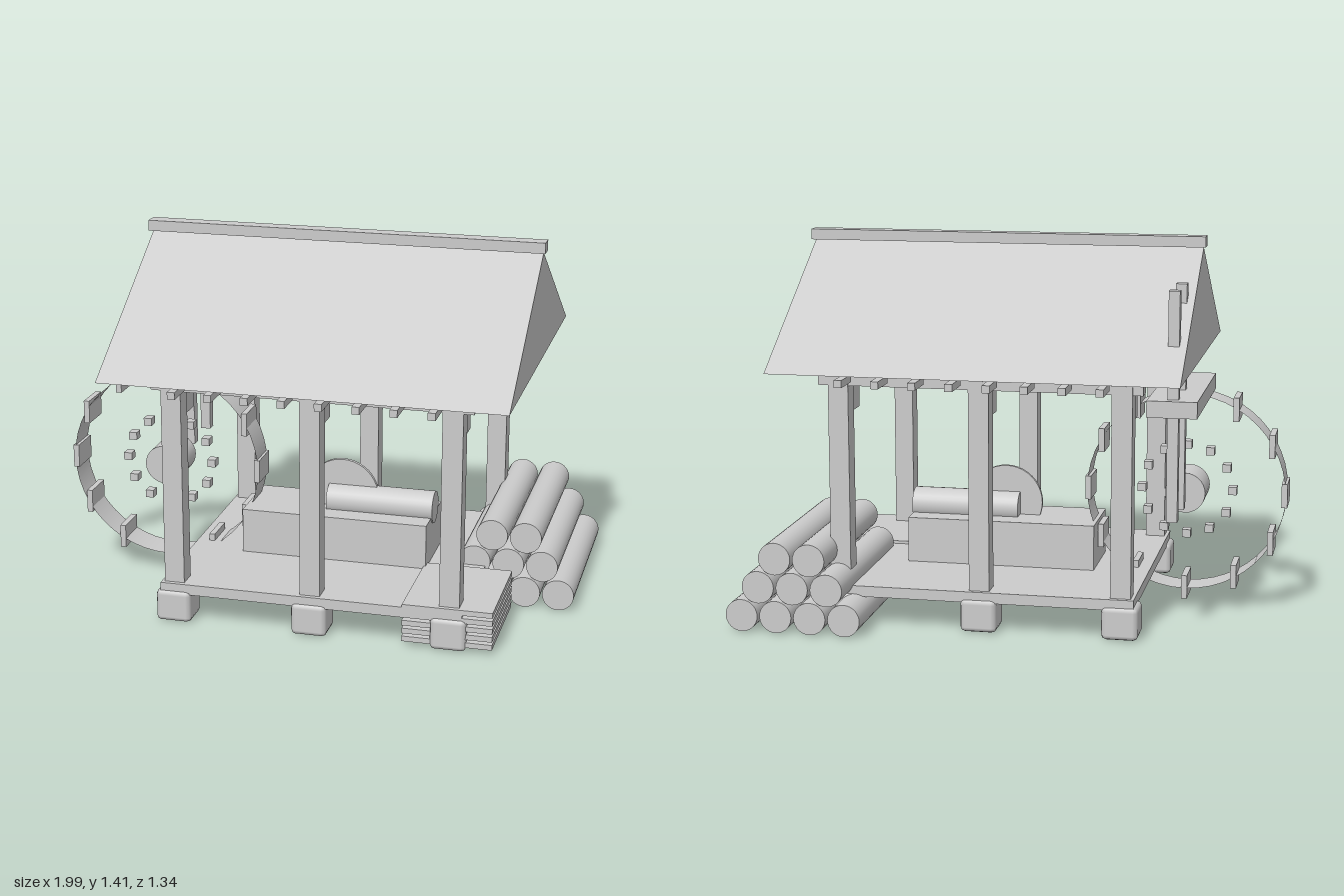
import * as THREE from 'three';
import { RoundedBoxGeometry } from 'three/addons/geometries/RoundedBoxGeometry.js';

export function createModel() {
  const model = new THREE.Group();
  model.name = 'waterSawmill';
  const grey = new THREE.MeshStandardMaterial({ color: 0xcccccc, side: THREE.DoubleSide });
  grey.name = 'plain grey';

  const add = (name, geometry, x = 0, y = 0, z = 0, parent = model) => {
    const mesh = new THREE.Mesh(geometry, grey);
    mesh.name = name;
    mesh.position.set(x, y, z);
    parent.add(mesh);
    return mesh;
  };
  // Box given by its lower and upper limits on each axis
  const box = (name, x0, x1, y0, y1, z0, z1, parent) =>
    add(name, new THREE.BoxGeometry(x1 - x0, y1 - y0, z1 - z0),
      (x0 + x1) / 2, (y0 + y1) / 2, (z0 + z1) / 2, parent);

  // Floor, feet, posts and braces
  box('floor', -0.487, 0.653, 0.115, 0.155, -0.52, 0.52);
  for (const x of [-0.437, 0.083, 0.603]) {
    for (const s of [-1, 1]) {
      add('footStone', new RoundedBoxGeometry(0.134, 0.122, 0.134, 1, 0.018), x, 0.066, s * 0.465);
      add('post', new THREE.BoxGeometry(0.075, 0.78, 0.075), x, 0.54, s * 0.465);
      add('brace', new THREE.BoxGeometry(0.06, 0.105, 0.1), x, 0.843, s * 0.375);
    }
    box('crossBeam', x - 0.035, x + 0.035, 0.897, 0.96, -0.5, 0.5);
  }

  // Long beams and rafter ends under the eaves
  for (const s of [-1, 1]) {
    add('longBeam', new THREE.BoxGeometry(1.19, 0.063, 0.07), 0.083, 0.929, s * 0.465);
    for (let i = 0; i < 8; i++) {
      add('rafterEnd', new THREE.BoxGeometry(0.028, 0.027, 0.128), -0.382 + i * 0.1343, 0.931, s * 0.594);
    }
  }

  // Roof shell, open underneath
  const x0 = -0.662, x1 = 0.828, e = 0.667, low = 0.96, top = 1.372;
  const A = [x0, low, e], B = [x1, low, e], C = [x0, low, -e], D = [x1, low, -e];
  const L = [x0, top, 0], R = [x1, top, 0];
  const roof = new THREE.BufferGeometry();
  const corners = [A, B, R, A, R, L, D, C, L, D, L, R, B, D, R, C, A, L].flat();
  roof.setAttribute('position', new THREE.Float32BufferAttribute(corners, 3));
  roof.computeVertexNormals();
  add('roof', roof);
  box('ridgeCap', -0.672, 0.838, 1.374, 1.414, -0.03, 0.03);

  // Saw bench with blade and log
  box('sawBench', -0.28, 0.44, 0.15, 0.327, -0.142, 0.142);
  add('sawBlade', new THREE.CylinderGeometry(0.14, 0.14, 0.015, 40).rotateX(Math.PI / 2), 0.083, 0.377, 0);
  add('benchLog', new THREE.CylinderGeometry(0.062, 0.062, 0.415, 28).rotateZ(Math.PI / 2), 0.237, 0.354, 0);

  // Log pile: rows of four, three and two
  const logGeometry = new THREE.CylinderGeometry(0.06, 0.06, 0.728, 28).rotateX(Math.PI / 2);
  for (let row = 0; row < 3; row++) {
    for (let i = 0; i < 4 - row; i++) {
      add('pileLog', logGeometry, 0.548 + row * 0.064 + i * 0.1285, 0.064 + row * 0.109, -0.308);
    }
  }

  // Plank stack
  for (let i = 0; i < 5; i++) {
    box('plank', 0.432, 0.765, 0.022 + i * 0.031, 0.042 + i * 0.031, 0.105, 0.52);
  }

  // Water wheel
  const wheel = new THREE.Group();
  wheel.name = 'waterWheel';
  wheel.position.set(-0.615, 0.457, 0);
  model.add(wheel);
  add('wheelRim', new THREE.CylinderGeometry(0.374, 0.374, 0.132, 48, 1, true).rotateX(Math.PI / 2), 0, 0, 0, wheel);
  add('wheelHub', new THREE.CylinderGeometry(0.076, 0.076, 0.16, 28).rotateX(Math.PI / 2), 0, 0, 0, wheel);
  for (let i = 0; i < 12; i++) {
    const c = Math.cos(i * Math.PI / 6), s = Math.sin(i * Math.PI / 6);
    add('wheelPaddle', new THREE.BoxGeometry(0.022, 0.09, 0.132), 0.37 * c, 0.37 * s, 0, wheel);
    add('spokeBlock', new THREE.BoxGeometry(0.032, 0.03, 0.04), 0.172 * c, 0.172 * s, 0, wheel);
  }

  // Flume and its poles
  box('flume', -0.705, -0.525, 0.825, 0.885, -0.517, 0.103);
  for (const z of [-0.258, -0.462]) box('flumePole', -0.635, -0.595, 0.44, 1.27, z - 0.02, z + 0.02);

  return model;
}
